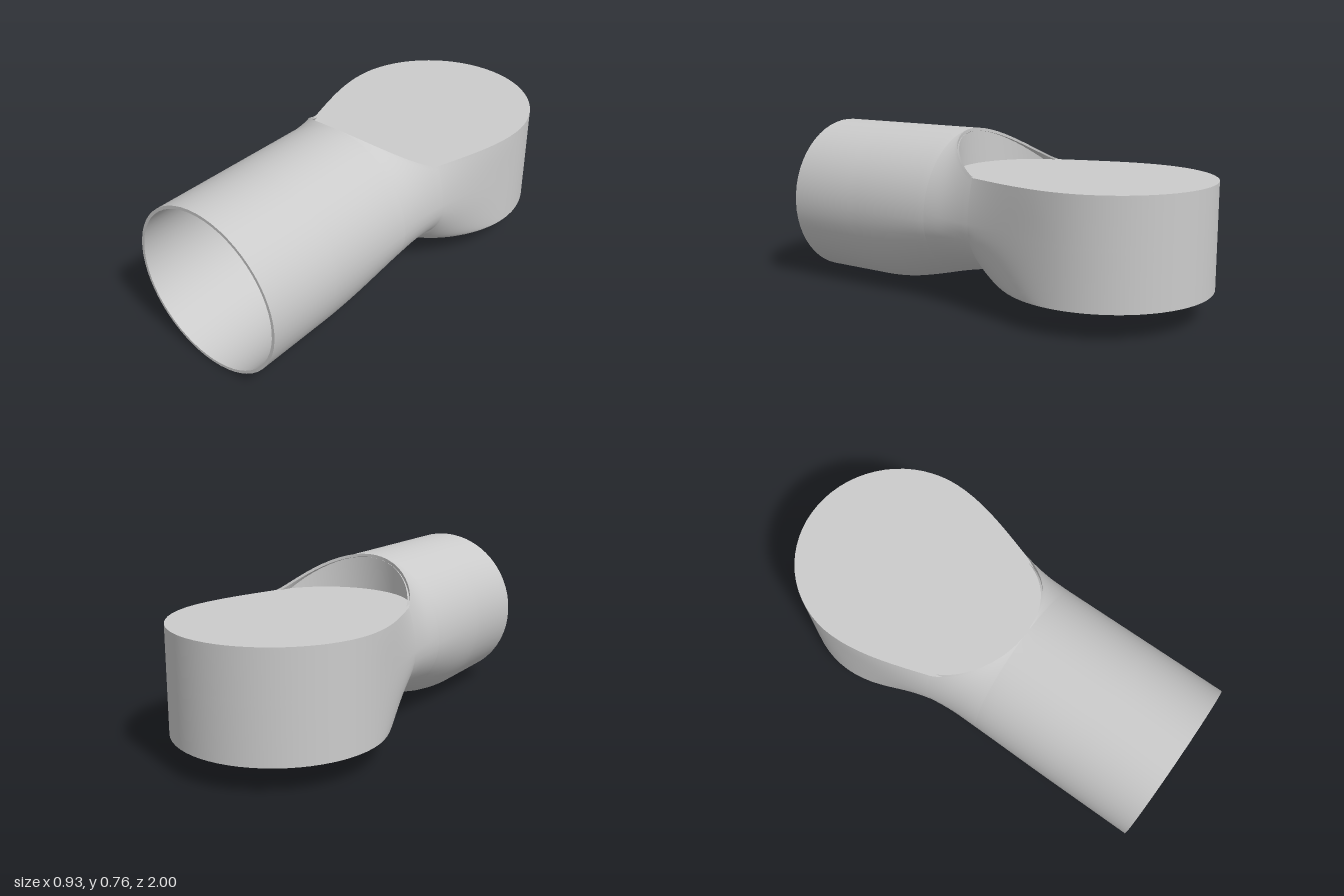
import * as THREE from 'three';
import { mergeVertices } from 'three/addons/utils/BufferGeometryUtils.js';

const R = 0.382, CY = 0.382;              // tube radius and axis height
const HR = 0.467, HZ = -0.533;            // head radius and centre
const TOP = 0.595, BOTTOM = 0.12;         // head top and underside
const NR = 0.38, NZ = -0.19;              // scoop cut into the tube's top
const JOIN = HZ + HR, WALL = 0.014;
const { sin, cos, sqrt, max, PI } = Math;
const lerp = THREE.MathUtils.lerp, smooth = THREE.MathUtils.smoothstep;

const circleX = (z, c, r) => sqrt(max(0, r * r - (z - c) ** 2));

// Half width of the body at mid height
function width(z) {
  return z < HZ ? circleX(z, HZ, HR) : lerp(HR, R, smooth(z, HZ, 0.1));
}

// Upper edge [x, y] of the skin: tube crest, then scoop rim, then head rim
function topEdge(z) {
  if (z >= NZ + NR - 1e-6) return [0, CY + R];
  if (z > JOIN) {
    const f = ((z - JOIN) / (NZ + NR - JOIN)) ** 1.3;
    return [circleX(z, NZ, NR), lerp(TOP, CY + R, f)];
  }
  if (z <= HZ) return [width(z), TOP];
  const t = (JOIN - z) / HR, x0 = circleX(JOIN, NZ, NR);
  const s = t * t * (3 - 2 * t);
  return [lerp(x0, HR, s) + 0.33 * HR * t * (1 - t) ** 2, TOP];
}

// Half section from bottom to top edge
function halfSection(z, n = 14) {
  const w = width(z), [xe, ye] = topEdge(z), pts = [];
  const bx = z < JOIN ? circleX(z, HZ, HR) : 0;
  const yb = BOTTOM * (1 - smooth(z, JOIN, 0.62));
  for (let i = 0; i < n; i++) {
    const a = (i / n) * PI / 2;
    pts.push([bx + (w - bx) * sin(a), CY - (CY - yb) * cos(a)]);
  }
  const end = Math.atan2(ye - CY, xe), far = Math.hypot(xe, ye - CY);
  for (let i = 0; i <= n; i++) {
    const t = i / n, r = lerp(w, far, t * t);
    pts.push(z <= HZ + 1e-6 ? [w, lerp(CY, TOP, t)] : [r * cos(t * end), CY + r * sin(t * end)]);
  }
  return pts;
}

// Triangles for a grid of rows; skip(j) leaves a column of cells out
function gridGeometry(rows, skip = () => false) {
  const n = rows[0].length, index = [];
  for (let i = 0; i < rows.length - 1; i++) {
    for (let j = 0; j < n - 1; j++) {
      if (skip(j)) continue;
      const a = i * n + j, c = a + n;
      index.push(a, c, a + 1, a + 1, c, c + 1);
    }
  }
  let g = new THREE.BufferGeometry();
  g.setAttribute('position', new THREE.Float32BufferAttribute(rows.flat(2), 3));
  g.setIndex(index);
  g = mergeVertices(g);
  g.computeVertexNormals();
  return g;
}

export function createModel() {
  const group = new THREE.Group();
  const solid = new THREE.MeshStandardMaterial({ color: 0xcccccc });
  const thin = new THREE.MeshStandardMaterial({ color: 0xcccccc, side: THREE.DoubleSide });
  const add = (name, geometry, material = thin) => {
    const mesh = new THREE.Mesh(geometry, material);
    mesh.name = name;
    group.add(mesh);
    return mesh;
  };

  // Stations along z: tube, blend, scoop, head
  const tubeZ = [1, 0.8], scoopZ = [], headZ = [];
  for (let i = 0; i < 10; i++) tubeZ.push(lerp(0.65, NZ + NR, i / 10));
  const aEnd = Math.asin((JOIN - NZ) / NR);
  for (let i = 0; i <= 12; i++) scoopZ.push(NZ + NR * sin(lerp(PI / 2, aEnd, i / 12)));
  for (let i = 1; i <= 32; i++) headZ.push(HZ + HR * cos((i / 32) * PI));

  // Outer skin of the tube flowing into the head
  const rows = [...tubeZ, ...scoopZ, ...headZ].map((z) => {
    const half = halfSection(z);
    const left = half.map(([x, y]) => [-x, y, z]).reverse();
    return [...left, ...half.map(([x, y]) => [x, y, z])];
  });
  const middle = rows[0].length / 2 - 1;
  const skin = gridGeometry(rows, (j) => j === middle);
  add('outerSkin', skin, solid);

  // Inner lining, one wall thickness inside the skin
  const lining = skin.clone();
  const p = lining.attributes.position, nrm = lining.attributes.normal;
  for (let i = 0; i < p.count; i++) {
    const z = p.getZ(i);
    p.setXYZ(i, p.getX(i) - nrm.getX(i) * WALL, p.getY(i) - nrm.getY(i) * WALL,
      z > 0.99 ? z : z - nrm.getZ(i) * WALL);
  }
  lining.computeVertexNormals();
  add('innerLining', lining);

  // Rim at the open end of the tube
  add('tubeRim', new THREE.RingGeometry(R - WALL, R, 56)).position.set(0, CY, 1);

  // Upright curved wall of the scoop
  const rim = scoopZ.map((z) => [...topEdge(z), z]);
  const arc = [...rim.slice(1).reverse().map(([x, y, z]) => [-x, y, z]), ...rim];
  add('scoopWall', gridGeometry([arc, arc.map(([x, , z]) => [x, TOP, z])]));

  // Flat teardrop top
  const edge = [...scoopZ, ...headZ].map((z) => new THREE.Vector2(topEdge(z)[0], z));
  const mirrored = edge.slice(1, -1).reverse().map((v) => new THREE.Vector2(-v.x, v.y));
  const cap = new THREE.ShapeGeometry(new THREE.Shape([...edge, ...mirrored]));
  add('flatTop', cap.rotateX(PI / 2)).position.y = TOP;

  // Underside: narrow rim around a slightly recessed disc
  const disc = new THREE.CircleGeometry(HR - WALL, 64).rotateX(PI / 2);
  add('headFloor', disc).position.set(0, BOTTOM + 0.006, HZ);
  const ring = new THREE.RingGeometry(HR - WALL, HR, 64).rotateX(PI / 2);
  add('headRim', ring).position.set(0, BOTTOM, HZ);
  const lip = new THREE.CylinderGeometry(HR - WALL, HR - WALL, 0.006, 64, 1, true);
  add('headLip', lip).position.set(0, BOTTOM + 0.003, HZ);

  return group;
}
